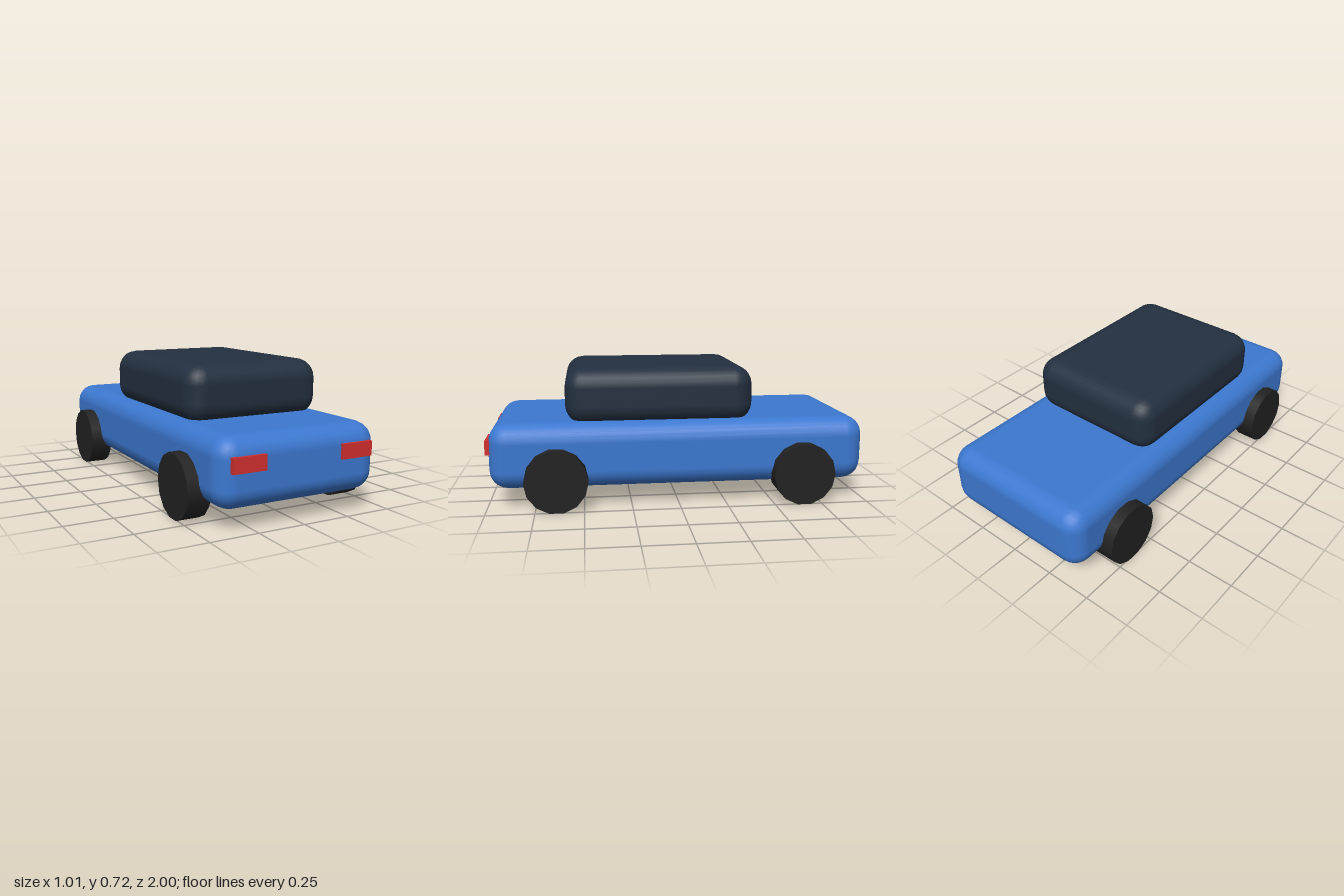
import * as THREE from 'three';
import { RoundedBoxGeometry } from 'three/addons/geometries/RoundedBoxGeometry.js';

function material(name, color) {
  const m = new THREE.MeshStandardMaterial({ color });
  m.name = name;
  return m;
}

export function createModel() {
  const car = new THREE.Group();
  car.name = 'car';
  const blue = material('blue paint', 0x3c78d0);
  const glass = material('dark glass', 0x233040);
  const rubber = material('black rubber', 0x222222);
  const red = material('red light', 0xd32f2f);

  const add = (name, geometry, mat, x, y, z) => {
    const mesh = new THREE.Mesh(geometry, mat);
    mesh.name = name;
    mesh.position.set(x, y, z);
    car.add(mesh);
    return mesh;
  };

  // Rounded body and cabin, the cabin sunk slightly into the body
  add('body', new RoundedBoxGeometry(0.89, 0.345, 1.985, 3, 0.1), blue, 0, 0.272, -0.007);
  add('cabin', new RoundedBoxGeometry(0.77, 0.297, 0.995, 3, 0.1), glass, 0, 0.568, 0.092);

  // Wheels and lamps, mirrored left and right
  const wheelShape = new THREE.CylinderGeometry(0.164, 0.164, 0.12, 14).rotateZ(Math.PI / 2);
  const lampShape = new THREE.BoxGeometry(0.174, 0.074, 0.03);
  for (const [side, s] of [['left', 1], ['right', -1]]) {
    add(side + 'FrontWheel', wheelShape, rubber, s * 0.447, 0.16, 0.64);
    add(side + 'BackWheel', wheelShape, rubber, s * 0.447, 0.16, -0.655);
    add(side + 'Lamp', lampShape, red, s * 0.298, 0.322, 0.985);
  }
  return car;
}
